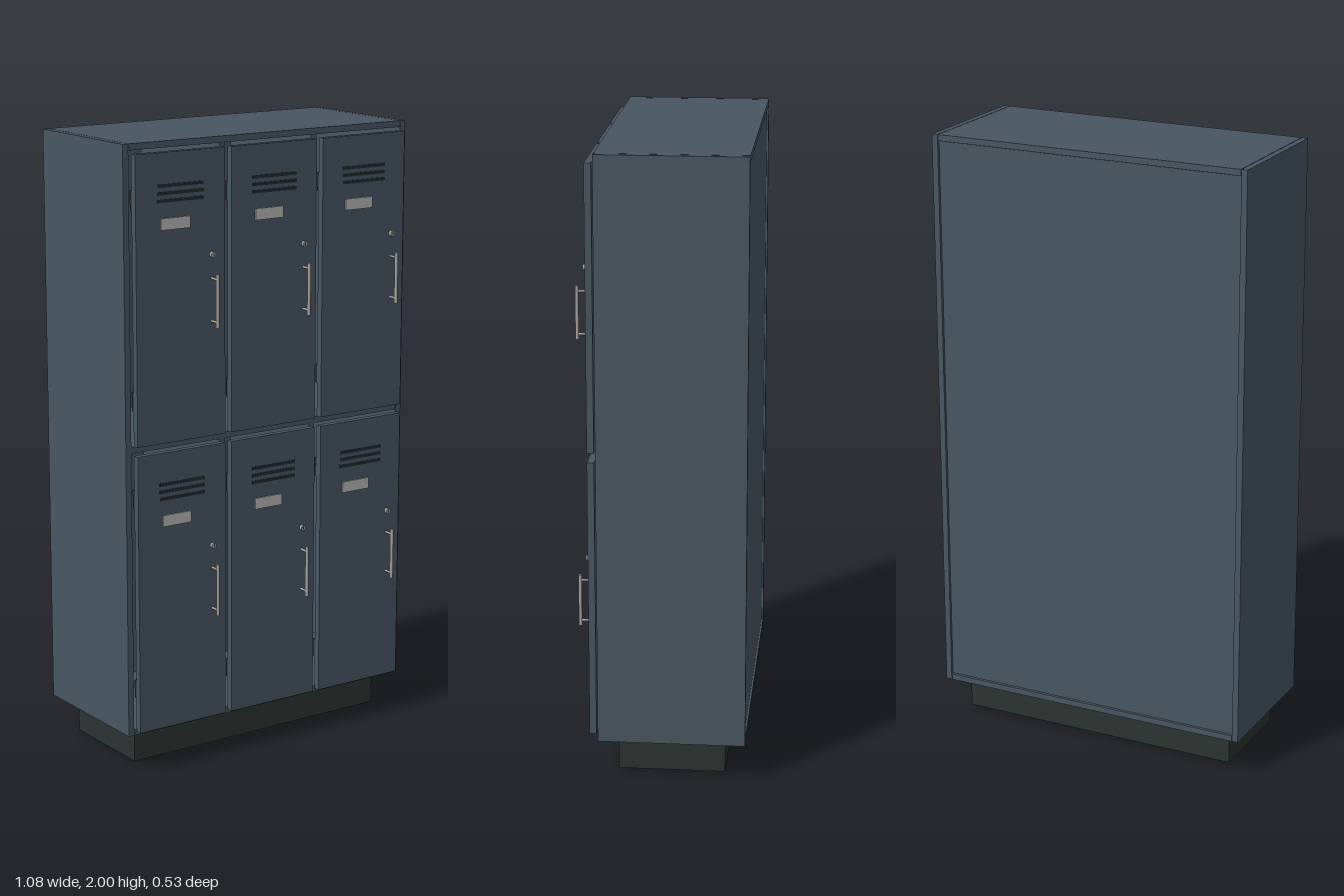
import * as THREE from 'three';

const mat = (name, color) => {
  const m = new THREE.MeshStandardMaterial({ color });
  m.name = name;
  return m;
};

export function createModel() {
  const steel = mat('slate steel', 0x485662);
  const plinthGreen = mat('dark plinth', 0x2b3331);
  const dark = mat('dark slot', 0x22282d);
  const plate = mat('label grey', 0xb4b4b2);
  const metal = mat('brushed metal', 0xa9a39c);
  const root = new THREE.Group();
  root.name = 'lockerUnit';

  // Box given by its limits on each axis
  const box = (parent, name, m, x0, x1, y0, y1, z0, z1) => {
    const mesh = new THREE.Mesh(new THREE.BoxGeometry(x1 - x0, y1 - y0, z1 - z0), m);
    mesh.position.set((x0 + x1) / 2, (y0 + y1) / 2, (z0 + z1) / 2);
    mesh.name = name;
    parent.add(mesh);
  };
  // Rod along y, or along z when lying
  const rod = (parent, name, m, r, len, x, y, z, lying) => {
    const mesh = new THREE.Mesh(new THREE.CylinderGeometry(r, r, len, 16), m);
    if (lying) mesh.rotation.x = Math.PI / 2;
    mesh.position.set(x, y, z);
    mesh.name = name;
    parent.add(mesh);
  };

  // Carcass panels
  const back = -0.266, front = 0.2;
  for (const s of [-1, 1]) {
    const a = s * 0.518, b = s * 0.538;
    box(root, s > 0 ? 'leftSide' : 'rightSide', steel, Math.min(a, b), Math.max(a, b), 0.125, 2, back, front);
    box(root, 'divider', steel, s * 0.175 - 0.01, s * 0.175 + 0.01, 0.145, 1.98, -0.25, 0.195);
  }
  box(root, 'topPanel', steel, -0.516, 0.516, 1.98, 2, back, front);
  box(root, 'bottomPanel', steel, -0.516, 0.516, 0.125, 0.145, back, front);
  box(root, 'middleShelf', steel, -0.516, 0.516, 1.045, 1.065, -0.25, 0.197);
  box(root, 'backPanel', steel, -0.516, 0.516, 0.147, 1.978, -0.26, -0.25);

  // Plinth and levelling feet
  box(root, 'plinth', plinthGreen, -0.48, 0.48, 0.01, 0.102, -0.2, 0.14);
  for (const x of [-0.385, 0.385]) for (const z of [-0.14, 0.08])
    rod(root, 'foot', dark, 0.022, 0.01, x, 0.005, z);

  // Doors with their fittings, placed relative to the door centre
  for (const cx of [-0.35, 0, 0.35]) for (const cy of [0.59, 1.52]) {
    const door = new THREE.Group();
    door.name = 'door';
    door.position.set(cx, cy, 0);
    root.add(door);
    box(door, 'doorPanel', steel, -0.163, 0.163, -0.45, 0.45, 0.207, 0.229);
    for (const y of [0.303, 0.326, 0.349])
      box(door, 'ventSlot', dark, -0.084, 0.084, y - 0.005, y + 0.005, 0.2285, 0.2305);
    box(door, 'labelPlate', plate, -0.076, 0.03, 0.215, 0.251, 0.231, 0.236);
    rod(door, 'lock', metal, 0.009, 0.012, 0.113, 0.123, 0.234, true);
    box(door, 'keySlot', dark, 0.1115, 0.1145, 0.118, 0.128, 0.2395, 0.2405);
    rod(door, 'handleBar', metal, 0.0055, 0.168, 0.113, -0.018, 0.26);
    for (const y of [-0.085, 0.049])
      rod(door, 'handlePost', metal, 0.004, 0.032, 0.113, y, 0.244, true);
    for (const y of [-0.31, 0.31])
      box(door, 'hinge', dark, -0.162, -0.144, y - 0.03, y + 0.03, 0.196, 0.208);
  }
  return root;
}
